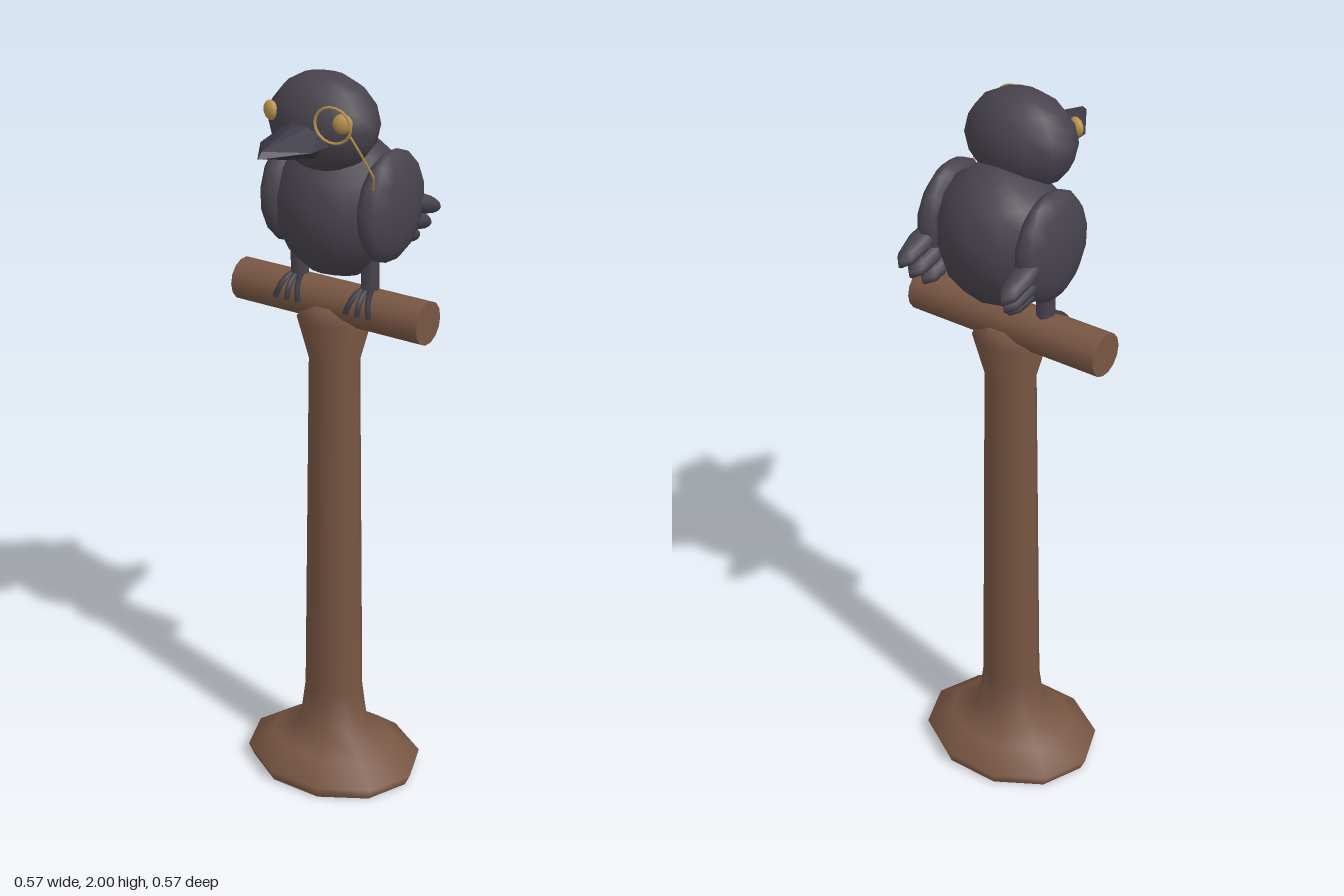
import * as THREE from 'three';
import { ConvexGeometry } from 'three/addons/geometries/ConvexGeometry.js';

const mat = (name, color) => new THREE.MeshStandardMaterial({ name, color });

export function createModel() {
  const wood = mat('brown wood', 0x785643);
  const plumage = mat('charcoal plumage', 0x48434d);
  const horn = mat('dark horn', 0x3b3844);
  const gold = mat('gold', 0xb8924e);

  const model = new THREE.Group();
  model.name = 'birdOnPerch';
  const V = (x, y, z) => new THREE.Vector3(x, y, z);
  const add = (parent, name, geometry, material) => {
    const mesh = new THREE.Mesh(geometry, material);
    mesh.name = name;
    parent.add(mesh);
    return mesh;
  };
  const ellipsoid = (parent, name, material, centre, radii, tilt = [0, 0, 0], segs = [12, 8]) => {
    const mesh = add(parent, name, new THREE.SphereGeometry(1, ...segs), material);
    mesh.position.set(...centre);
    mesh.scale.set(...radii);
    mesh.rotation.set(...tilt);
    return mesh;
  };
  const tube = (parent, name, points, radius, material, segs, sides = 6) =>
    add(parent, name, new THREE.TubeGeometry(new THREE.CatmullRomCurve3(points), segs, radius, sides), material);

  // Stand: ten-sided turned post, narrower front to back than across
  const stand = new THREE.Group();
  stand.name = 'stand';
  stand.position.set(0.003, 0, -0.037);
  stand.scale.set(1, 1, 0.82);
  model.add(stand);
  const profile = [
    [0.24, 0], [0.256, 0.035], [0.18, 0.085], [0.1, 0.13], [0.084, 0.25],
    [0.071, 1.23], [0.104, 1.345], [0.07, 1.39], [0, 1.395],
  ].map(([r, y]) => new THREE.Vector2(r, y));
  add(stand, 'post', new THREE.LatheGeometry(profile, 10).rotateY(Math.PI / 2), wood);
  add(stand, 'baseUnderside', new THREE.CircleGeometry(0.24, 10).rotateX(Math.PI / 2), wood);

  // Crossbar
  const perch = add(model, 'perch', new THREE.CylinderGeometry(0.057, 0.057, 0.57, 14).rotateZ(Math.PI / 2), wood);
  perch.position.set(0, 1.39, -0.037);

  // Bird body and head
  const bird = new THREE.Group();
  bird.name = 'bird';
  model.add(bird);
  ellipsoid(bird, 'body', plumage, [0.003, 1.648, -0.065], [0.178, 0.192, 0.16], [-0.15, 0, 0]);
  ellipsoid(bird, 'head', plumage, [0.004, 1.876, 0.011], [0.151, 0.124, 0.109]);

  // Beak halves, each pulled to a point
  const beak = new THREE.Group();
  beak.name = 'beak';
  bird.add(beak);
  add(beak, 'upperBeak', new ConvexGeometry([
    V(-0.08, 1.846, 0.07), V(0.08, 1.846, 0.07), V(-0.077, 1.846, 0.165), V(0.077, 1.846, 0.165),
    V(-0.035, 1.896, 0.07), V(0.035, 1.896, 0.07), V(0, 1.886, 0.165),
    V(0, 1.861, 0.265), V(0, 1.846, 0.283),
  ]), horn);
  add(beak, 'lowerBeak', new ConvexGeometry([
    V(-0.065, 1.843, 0.07), V(0.065, 1.843, 0.07), V(-0.06, 1.843, 0.165), V(0.06, 1.843, 0.165),
    V(-0.035, 1.804, 0.08), V(0.035, 1.804, 0.08), V(0, 1.842, 0.262), V(0, 1.815, 0.165),
  ]), horn);

  // Mirrored parts
  for (const [side, s] of [['left', 1], ['right', -1]]) {
    const at = (x, y, z) => [0.003 + s * x, y, z];
    ellipsoid(bird, side + 'Eye', gold, at(0.106, 1.903, 0.086), [0.025, 0.025, 0.015], [0, s * 0.4, 0], [10, 8]);

    // Wing with three trailing feathers
    const wing = new THREE.Group();
    wing.name = side + 'Wing';
    bird.add(wing);
    ellipsoid(wing, 'wingCover', plumage, at(0.146, 1.662, -0.07), [0.049, 0.145, 0.135], [-0.15, 0, 0]);
    [[0.153, 1.635, -0.2, 0.09], [0.142, 1.597, -0.178, 0.085], [0.128, 1.567, -0.152, 0.077]]
      .forEach(([x, y, z, length], i) =>
        ellipsoid(wing, 'feather' + (i + 1), plumage, at(x, y, z), [0.032, 0.025, length], [-0.38, 0, 0], [8, 8]));

    // Leg
    const leg = add(bird, side + 'Leg', new THREE.CylinderGeometry(0.024, 0.024, 0.1, 8), plumage);
    leg.position.set(...at(0.108, 1.485, -0.037));

    // Toes curled over the front of the bar
    for (const spread of [-1, 0, 1]) {
      const path = [];
      for (let i = 0; i <= 4; i++) {
        const a = Math.PI / 2 * (1 - i / 4);
        path.push(V(0.003 + s * 0.108 + spread * (0.01 + 0.0065 * i),
          1.387 + Math.sin(a) * 0.059, -0.037 + Math.cos(a) * 0.059));
      }
      tube(bird, side + 'Toe', path, 0.008, horn, 8);
    }
  }

  // Monocle and its hanging cord
  const monocle = new THREE.Group();
  monocle.name = 'monocle';
  bird.add(monocle);
  const rim = add(monocle, 'rim', new THREE.TorusGeometry(1, 0.08, 6, 18), gold);
  rim.position.set(0.097, 1.903, 0.111);
  rim.scale.set(0.052, 0.044, 0.05);
  const cord = new THREE.CurvePath();
  const pts = [V(0.146, 1.885, 0.11), V(0.165, 1.85, 0.1), V(0.185, 1.775, 0.062), V(0.165, 1.735, 0.035)];
  for (let i = 0; i < 3; i++) cord.add(new THREE.LineCurve3(pts[i], pts[i + 1]));
  add(monocle, 'cord', new THREE.TubeGeometry(cord, 12, 0.003, 5), gold);

  return model;
}
